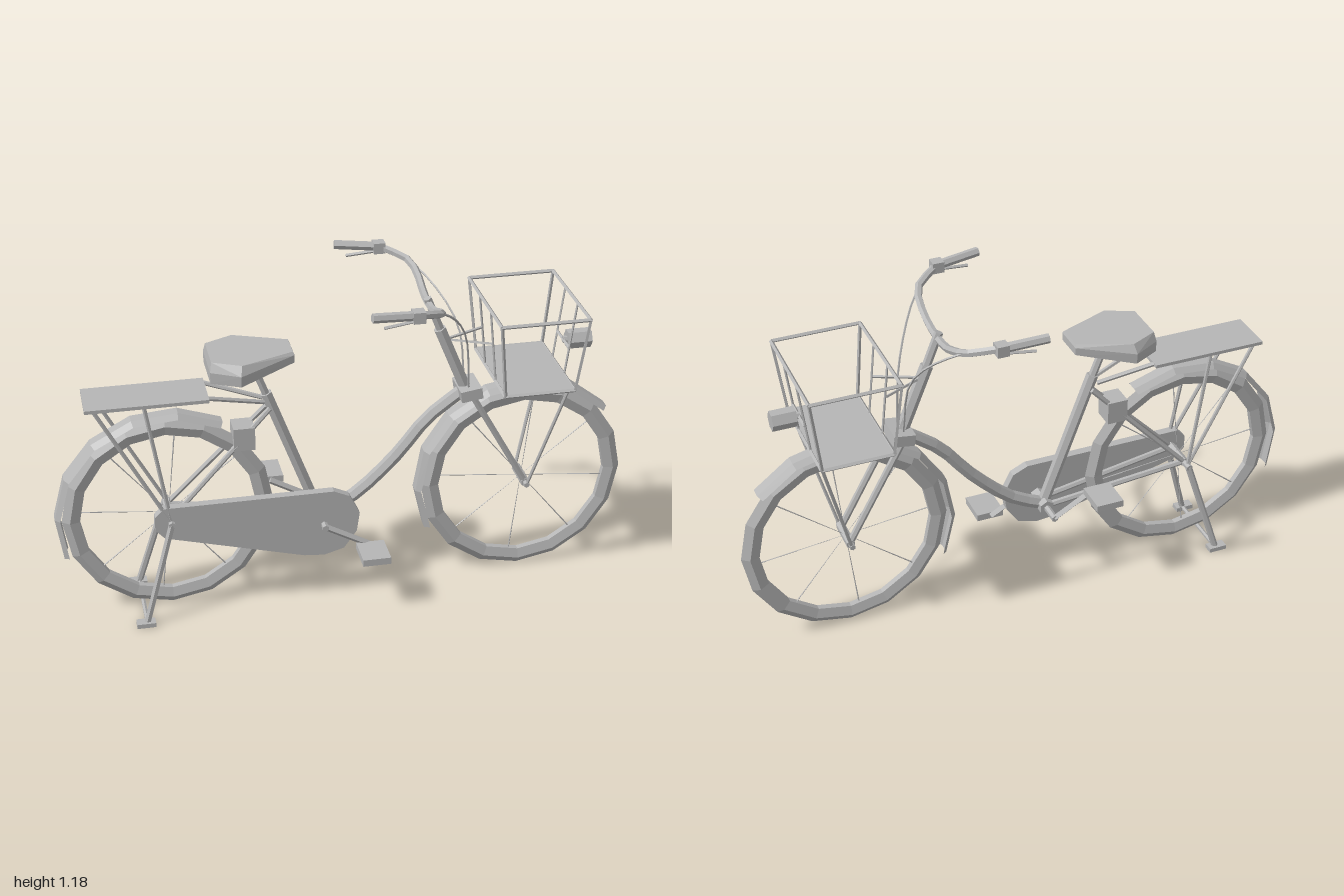
import * as THREE from 'three';
import { ConvexGeometry } from 'three/addons/geometries/ConvexGeometry.js';

const V = (x, y, z) => new THREE.Vector3(x, y, z);
const rad = THREE.MathUtils.degToRad;

export function createModel() {
  const grey = new THREE.MeshStandardMaterial({ color: 0xb6b6b6, flatShading: true, side: THREE.DoubleSide });
  grey.name = 'plain grey';
  const root = new THREE.Group();
  root.name = 'bicycle';

  const add = (name, geometry, x = 0, y = 0, z = 0, parent = root) => {
    const mesh = new THREE.Mesh(geometry, grey);
    mesh.name = name;
    mesh.position.set(x, y, z);
    parent.add(mesh);
    return mesh;
  };
  const box = (name, w, h, d, x, y, z) => add(name, new THREE.BoxGeometry(w, h, d), x, y, z);
  // Straight round bar between two points
  const rod = (name, a, b, r, sides = 6, rEnd = r, parent = root) => {
    const dir = b.clone().sub(a);
    const mid = a.clone().add(b).multiplyScalar(0.5);
    const mesh = add(name, new THREE.CylinderGeometry(rEnd, r, dir.length(), sides), mid.x, mid.y, mid.z, parent);
    mesh.quaternion.setFromUnitVectors(V(0, 1, 0), dir.normalize());
    return mesh;
  };
  // Bent bar through several points
  const bend = (name, points, r, segments, sides = 6) =>
    add(name, new THREE.TubeGeometry(new THREE.CatmullRomCurve3(points), segments, r, sides));
  const bothSides = (build) => [1, -1].forEach(build);

  const rear = V(-0.615, 0.37, 0), front = V(0.635, 0.37, 0), crank = V(-0.09, 0.303, 0);

  // Wheels: pointed tyre, tapered spokes and hub
  function wheel(name, c) {
    const group = new THREE.Group();
    group.name = name;
    group.position.copy(c);
    root.add(group);
    const profile = [[0.303, -0.011], [0.337, -0.02], [0.364, 0], [0.337, 0.02], [0.303, 0.011], [0.303, -0.011]];
    const tyre = add('tyre', new THREE.LatheGeometry(profile.map((p) => new THREE.Vector2(...p)), 16), 0, 0, 0, group);
    tyre.rotation.x = Math.PI / 2;
    for (let i = 0; i < 8; i++) {
      const a = rad(45 * i - 6);
      rod('spoke', V(0, 0, 0), V(0.306 * Math.cos(a), 0.306 * Math.sin(a), 0), 0.0008, 4, 0.0025, group);
    }
    rod('hub', V(0, 0, -0.06), V(0, 0, 0.06), 0.016, 6, 0.016, group);
  }
  wheel('rearWheel', rear);
  wheel('frontWheel', front);

  // Mudguards: crowned strip swept over part of the wheel
  function mudguard(name, c, from, to, segments) {
    const profile = [[0.37, -0.037], [0.388, -0.02], [0.388, 0.02], [0.37, 0.037]];
    const geometry = new THREE.LatheGeometry(profile.map((p) => new THREE.Vector2(...p)), segments, rad(from + 90), rad(to - from));
    add(name, geometry, c.x, c.y, c.z).rotation.x = Math.PI / 2;
  }
  mudguard('rearMudguard', rear, 60, 200, 6);
  mudguard('frontMudguard', front, 41, 205, 7);

  // Frame
  bend('downTube', [V(-0.09, 0.3, 0), V(0.03, 0.36, 0), V(0.18, 0.5, 0), V(0.29, 0.635, 0), V(0.42, 0.735, 0)], 0.023, 10);
  rod('seatTube', V(-0.09, 0.3, 0), V(-0.27, 0.79, 0), 0.021);
  rod('seatPost', V(-0.26, 0.76, 0), V(-0.315, 0.905, 0), 0.014);
  rod('headTube', V(0.428, 0.72, 0), V(0.325, 0.97, 0), 0.022);
  rod('handlebarStem', V(0.33, 0.96, 0), V(0.28, 1.085, 0), 0.015);
  rod('bottomBracket', V(-0.09, 0.303, -0.04), V(-0.09, 0.303, 0.05), 0.028);
  bothSides((s) => {
    rod('chainStay', V(-0.1, 0.305, s * 0.025), V(rear.x, rear.y, s * 0.05), 0.011);
    rod('seatStay', V(-0.26, 0.74, s * 0.02), V(rear.x, rear.y, s * 0.055), 0.009);
    rod('forkBlade', V(0.43, 0.735, s * 0.048), V(front.x, front.y, s * 0.048), 0.012);
  });
  rod('rearAxle', V(rear.x, rear.y, -0.1), V(rear.x, rear.y, 0.1), 0.012);
  box('forkCrown', 0.075, 0.04, 0.12, 0.43, 0.735, 0).rotation.z = 0.15;
  box('wheelLock', 0.073, 0.083, 0.08, -0.352, 0.64, 0);

  // Chain case
  const caseOutline = [[-0.64, 0.43], [-0.67, 0.4], [-0.672, 0.35], [-0.64, 0.315], [-0.16, 0.186], [-0.09, 0.18],
    [-0.02, 0.2], [0.025, 0.265], [0.035, 0.335], [0, 0.405], [-0.055, 0.43]];
  const caseShape = new THREE.Shape(caseOutline.map((p) => new THREE.Vector2(...p)));
  add('chainCase', new THREE.ExtrudeGeometry(caseShape, { depth: 0.03, bevelEnabled: false }), 0, 0, 0.055);

  // Cranks and pedals
  rod('crankAxle', V(crank.x, crank.y, -0.11), V(crank.x, crank.y, 0.115), 0.012);
  bothSides((s) => {
    const x = crank.x + s * 0.157, y = crank.y - s * 0.088;
    rod('crankArm', V(crank.x, crank.y, s * 0.103), V(x, y, s * 0.103), 0.012, 4);
    box('pedal', 0.098, 0.025, 0.118, x, y, s * 0.165);
  });

  // Saddle: three outlines joined into a faceted wedge
  const saddle = [];
  bothSides((s) => {
    for (const [x, z, bottom, rim] of [[-0.465, 0.085, 0.885, 0.925], [-0.37, 0.137, 0.887, 0.925], [-0.18, 0.055, 0.92, 0.947]]) {
      saddle.push(V(x, bottom, s * z * 0.98), V(x, rim, s * z), V(x + (x < -0.3 ? 0.006 : -0.004), 0.957, s * z * 0.87));
    }
  });
  add('saddle', new ConvexGeometry(saddle));

  // Rear rack
  box('rackPlate', 0.41, 0.012, 0.165, -0.675, 0.82, 0);
  bothSides((s) => {
    rod('rackStay', V(-0.85, 0.815, s * 0.07), V(rear.x, rear.y, s * 0.08), 0.007);
    rod('rackStay', V(-0.685, 0.815, s * 0.07), V(rear.x, rear.y, s * 0.08), 0.007);
    rod('rackBrace', V(-0.475, 0.82, s * 0.06), V(-0.28, 0.765, s * 0.018), 0.008);
  });

  // Double-legged stand
  bothSides((s) => {
    rod('standLeg', V(rear.x, rear.y, s * 0.09), V(-0.72, 0.018, s * 0.133), 0.012);
    box('standFoot', 0.065, 0.016, 0.036, -0.725, 0.014, s * 0.135);
  });
  rod('standBar', V(-0.72, 0.016, -0.13), V(-0.72, 0.016, 0.13), 0.008);

  // Handlebar, grips, brake levers and cables
  const half = [[0.285, 1.07, 0.065], [0.285, 1.1, 0.15], [0.268, 1.13, 0.225], [0.185, 1.16, 0.285]];
  const bar = [...half.map(([x, y, z]) => V(x, y, -z)).reverse(), ...half.map((p) => V(...p))];
  bend('handlebar', bar, 0.0135, 14);
  bothSides((s) => {
    rod('grip', V(0.185, 1.161, s * 0.287), V(0.025, 1.174, s * 0.305), 0.016);
    box('leverClamp', 0.04, 0.038, 0.04, 0.178, 1.16, s * 0.288);
    rod('brakeLever', V(0.175, 1.145, s * 0.29), V(0.065, 1.133, s * 0.298), 0.006, 4);
    bend('brakeCable', [V(0.19, 1.16, s * 0.28), V(0.29, 1.115, s * 0.2), V(0.4, 0.96, s * 0.06), V(0.425, 0.75, s * 0.03)], 0.004, 10, 4);
  });

  // Front basket
  const top = { x0: 0.48, x1: 0.782, z: 0.207, y: 1.052 };
  const base = { x0: 0.508, x1: 0.75, z: 0.188, y: 0.787 };
  box('basketFloor', base.x1 - base.x0, 0.01, base.z * 2, (base.x0 + base.x1) / 2, base.y, 0);
  for (const l of [top, base]) {
    bothSides((s) => rod('basketRim', V(l.x0, l.y, s * l.z), V(l.x1, l.y, s * l.z), 0.007, 4));
    for (const x of [l.x0, l.x1]) rod('basketRim', V(x, l.y, -l.z), V(x, l.y, l.z), 0.007, 4);
  }
  for (const k of ['x0', 'x1']) {
    bothSides((s) => {
      rod('basketCorner', V(top[k], top.y, s * top.z), V(base[k], base.y, s * base.z), 0.006, 4);
      rod('basketBar', V(top[k], top.y, s * 0.068), V(base[k], base.y, s * 0.066), 0.004, 4);
    });
  }
  bothSides((s) => {
    rod('basketStay', V(0.745, 0.785, s * 0.15), V(0.638, 0.375, s * 0.072), 0.006);
    rod('basketBracket', V(0.345, 0.928, 0), V(0.49, 0.928, s * 0.066), 0.005, 4);
  });
  rod('frontAxle', V(front.x, front.y, -0.08), V(front.x, front.y, 0.08), 0.01);

  // Headlight
  rod('headlight', V(0.775, 0.887, 0), V(0.857, 0.887, 0), 0.034);
  rod('headlightBracket', V(0.763, 0.887, -0.068), V(0.763, 0.887, 0.068), 0.006, 4);
  rod('headlightMount', V(0.76, 0.887, 0), V(0.78, 0.887, 0), 0.012);

  return root;
}
